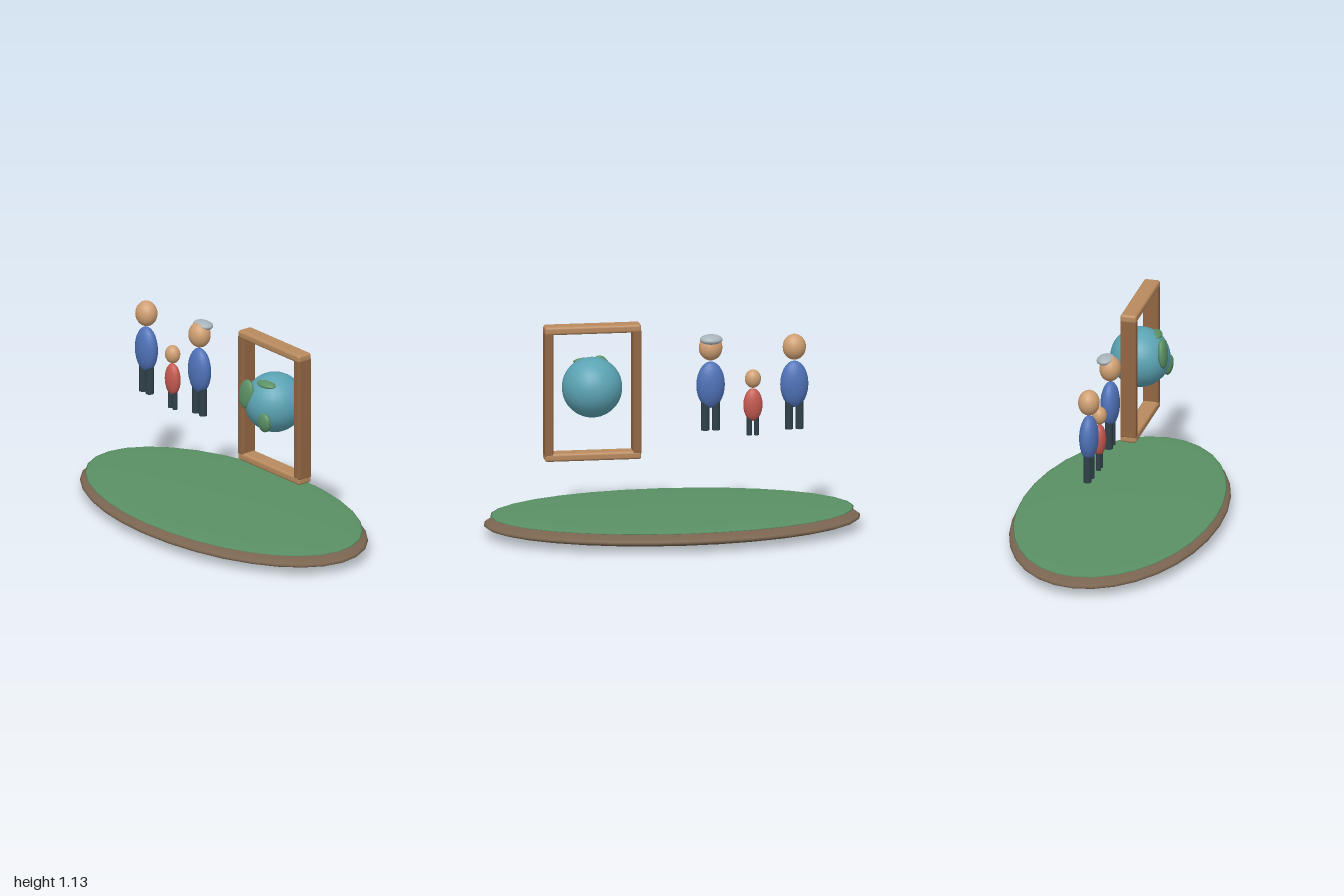
import * as THREE from 'three';
import { RoundedBoxGeometry } from 'three/addons/geometries/RoundedBoxGeometry.js';

const mat = (color) => new THREE.MeshStandardMaterial({ color });
const MAT = {
  soil: mat(0x7a6550), grass: mat(0x5a9064), post: mat(0x936643), rail: mat(0xb98a5e),
  water: mat(0x5ba3b3), land: mat(0x5a9064), skin: mat(0xcf9f72), blue: mat(0x4f72b8),
  red: mat(0xc45a50), trousers: mat(0x2f4048), hair: mat(0xa8b4ba),
};

function add(parent, name, geometry, material, position, rotation = [0, 0, 0]) {
  const mesh = new THREE.Mesh(geometry, material);
  mesh.name = name;
  mesh.position.set(...position);
  mesh.rotation.set(...rotation);
  parent.add(mesh);
  return mesh;
}

// Smooth ellipsoid from three radii
function ellipsoid(parent, name, material, position, radii, rotation, segments = 20) {
  const geometry = new THREE.SphereGeometry(1, segments, Math.round(segments * 0.7));
  geometry.scale(...radii);
  return add(parent, name, geometry, material, position, rotation);
}

// Standing figure: head and body ellipsoids on two cylindrical legs
function person(name, p) {
  const figure = new THREE.Group();
  figure.name = name;
  figure.position.x = p.x;
  ellipsoid(figure, 'head', MAT.skin, [0, p.headY, 0], p.head);
  ellipsoid(figure, 'body', p.shirt, [0, p.bodyY, 0], p.body);
  const height = p.legTop - p.foot;
  for (const side of [-1, 1]) {
    add(figure, side > 0 ? 'leftLeg' : 'rightLeg',
      new THREE.CylinderGeometry(p.legRadius, p.legRadius, height, 12),
      MAT.trousers, [side * p.legGap, p.foot + height / 2, 0]);
  }
  return figure;
}

export function createModel() {
  const model = new THREE.Group();
  model.name = 'islandScene';

  // Oval island: soil lens with a thinner grass lens on top
  ellipsoid(model, 'soil', MAT.soil, [0, 0.058, 0], [1, 0.058, 0.545], undefined, 32);
  ellipsoid(model, 'grass', MAT.grass, [0, 0.105, 0], [0.965, 0.018, 0.525], undefined, 32);

  // Three floating figures
  const adult = person('firstAdult', {
    x: -0.65, headY: 0.972, head: [0.062, 0.069, 0.057], bodyY: 0.772, body: [0.075, 0.125, 0.05],
    shirt: MAT.blue, foot: 0.53, legTop: 0.72, legRadius: 0.022, legGap: 0.028,
  });
  const child = person('child', {
    x: -0.43, headY: 0.807, head: [0.043, 0.049, 0.039], bodyY: 0.667, body: [0.051, 0.088, 0.035],
    shirt: MAT.red, foot: 0.503, legTop: 0.63, legRadius: 0.014, legGap: 0.019,
  });
  const elder = person('elder', {
    x: -0.205, headY: 0.983, head: [0.063, 0.069, 0.057], bodyY: 0.782, body: [0.076, 0.125, 0.05],
    shirt: MAT.blue, foot: 0.538, legTop: 0.73, legRadius: 0.022, legGap: 0.029,
  });
  ellipsoid(elder, 'hair', MAT.hair, [0, 1.032, -0.024], [0.061, 0.025, 0.048], [-0.1, 0, 0]);
  model.add(adult, child, elder);

  // Wooden frame
  const frame = new THREE.Group();
  frame.name = 'frame';
  frame.position.set(0.424, 0.765, 0);
  for (const side of [-1, 1]) {
    add(frame, side > 0 ? 'leftPost' : 'rightPost',
      new RoundedBoxGeometry(0.045, 0.67, 0.086, 2, 0.008), MAT.post, [side * 0.2345, 0, 0]);
    add(frame, side > 0 ? 'topRail' : 'bottomRail',
      new RoundedBoxGeometry(0.512, 0.044, 0.088, 3, 0.014), MAT.rail, [0, side * 0.342, 0]);
  }
  model.add(frame);

  // Globe with three raised land patches on its front
  const globe = new THREE.Group();
  globe.name = 'globe';
  globe.position.set(0.425, 0.79, 0);
  ellipsoid(globe, 'ocean', MAT.water, [0, 0, 0], [0.16, 0.16, 0.16], undefined, 24);
  ellipsoid(globe, 'largeLand', MAT.land, [-0.065, 0.058, 0.14], [0.054, 0.081, 0.024], [-0.1, 0, -0.15]);
  ellipsoid(globe, 'smallLand', MAT.land, [0.078, -0.064, 0.133], [0.046, 0.055, 0.025], [0.08, 0, -0.3]);
  ellipsoid(globe, 'northLand', MAT.land, [0.032, 0.126, 0.083], [0.06, 0.015, 0.03], [0.25, 0.2, -0.08]);
  model.add(globe);

  return model;
}
